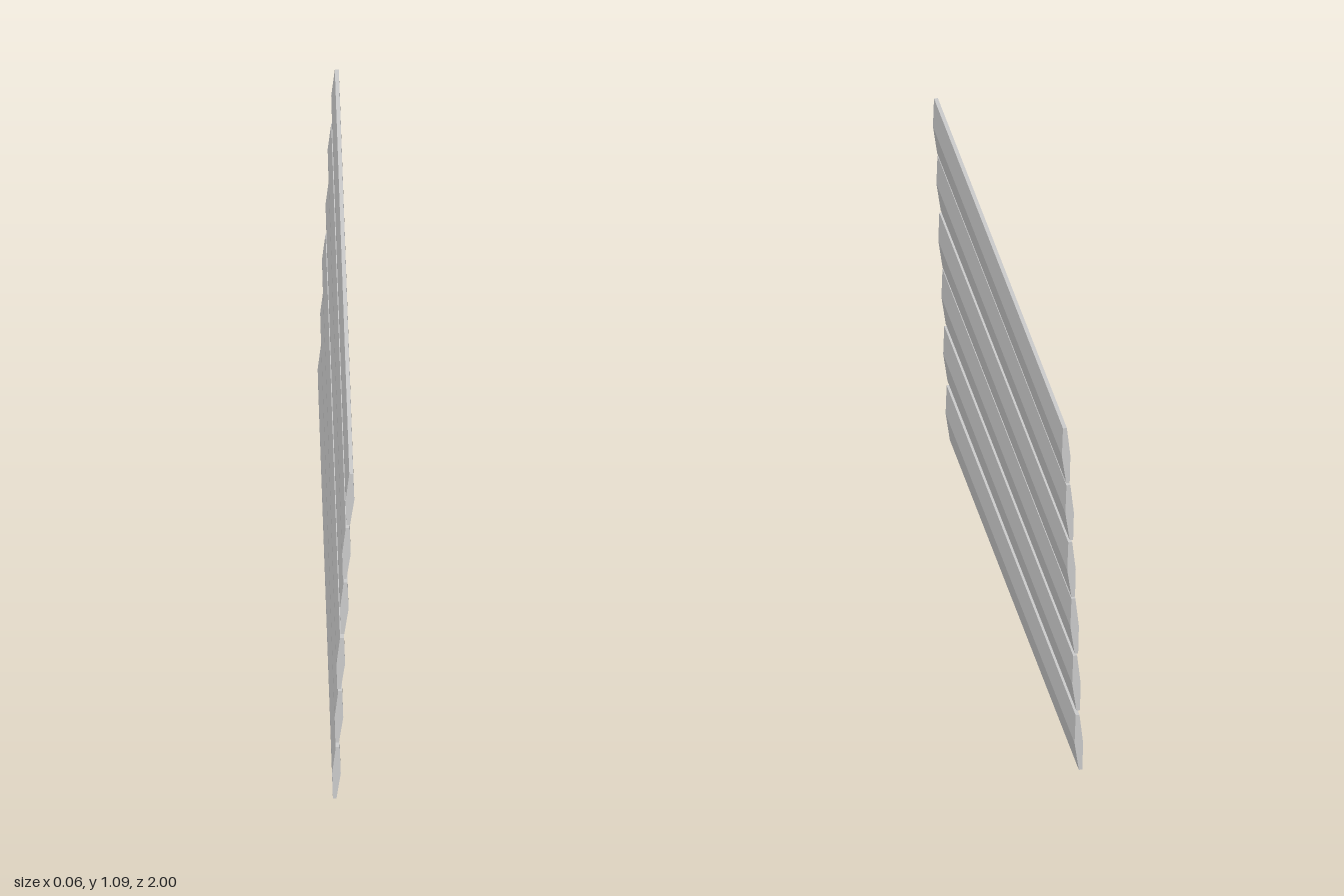
import * as THREE from 'three';

const LENGTH = 1.988;
const HEIGHT = 0.173;

// Six-sided slat section: narrow edges, slightly bulged faces, leaning to +x at the top
const SECTION = [
  [-0.010, 0], [0, 0], [0.012, 0.085],
  [0.009, HEIGHT], [-0.002, HEIGHT], [-0.012, 0.085],
];

// Each slat: centre x, bottom y, centre z
const SLATS = [
  [-0.020, 0.000, 0.006],
  [-0.013, 0.188, 0.005],
  [-0.008, 0.368, 0.005],
  [0.002, 0.550, -0.001],
  [0.008, 0.732, -0.005],
  [0.018, 0.913, -0.006],
];

export function createModel() {
  const group = new THREE.Group();
  group.name = 'slattedPanel';
  const material = new THREE.MeshStandardMaterial({ color: 0xcccccc, flatShading: true });

  // Shared slat, extruded along z and centred lengthwise
  const shape = new THREE.Shape(SECTION.map(([x, y]) => new THREE.Vector2(x, y)));
  const geometry = new THREE.ExtrudeGeometry(shape, { depth: LENGTH, bevelEnabled: false });
  geometry.translate(0, 0, -LENGTH / 2);

  // Stack of slats, stepping sideways as it rises
  SLATS.forEach(([x, y, z], i) => {
    const slat = new THREE.Mesh(geometry, material);
    slat.name = `slat${i + 1}`;
    slat.position.set(x, y, z);
    group.add(slat);
  });
  return group;
}
